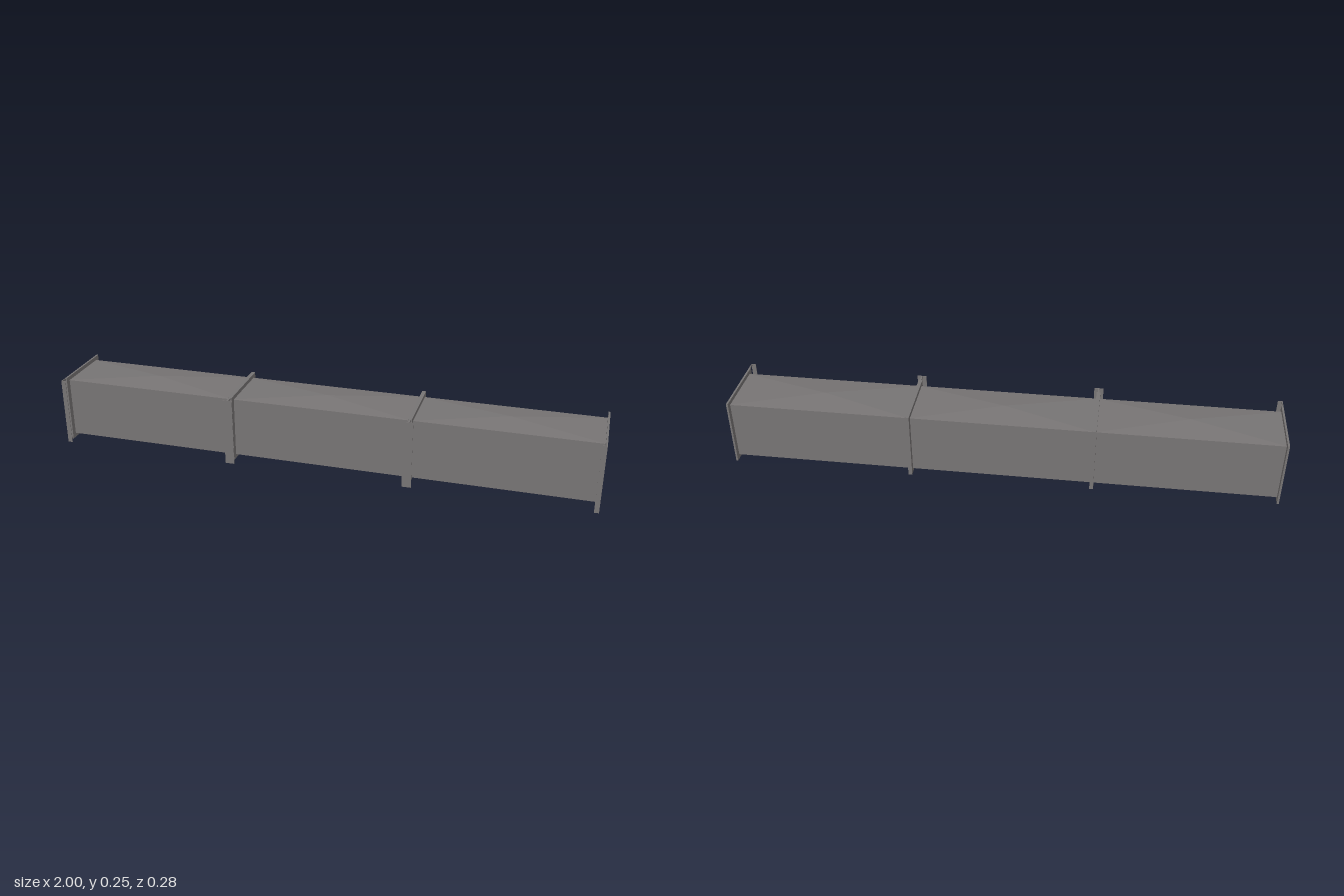
import * as THREE from 'three';

const SEGMENTS = 3, LENGTH = 2 / SEGMENTS;
const BACK = -0.122, FRONT = 0.093, LOW = 0.016, HIGH = 0.239; // duct opening
const RING = 0.007; // flange thickness per segment

const steel = new THREE.MeshStandardMaterial({ color: 0x777474, side: THREE.DoubleSide });
steel.name = 'grey steel';

function add(group, name, geometry, x = 0, y = 0, z = 0) {
  const mesh = new THREE.Mesh(geometry, steel);
  mesh.name = name;
  mesh.position.set(x, y, z);
  group.add(mesh);
  return mesh;
}

// Sheet creased from its corners to a slightly raised centre
function creasedPanel(y, peak) {
  const h = LENGTH / 2;
  const corners = [[-h, y, BACK], [-h, y, FRONT], [h, y, FRONT], [h, y, BACK]];
  const centre = [0, peak, (BACK + FRONT) / 2];
  const points = [];
  corners.forEach((c, i) => {
    const next = corners[(i + 1) % 4];
    points.push(...(peak > y ? [c, next, centre] : [next, c, centre]).flat());
  });
  const geometry = new THREE.BufferGeometry();
  geometry.setAttribute('position', new THREE.Float32BufferAttribute(points, 3));
  geometry.computeVertexNormals();
  return geometry;
}

// Rectangular ring standing across the duct
function flangeGeometry() {
  const rect = (path, z0, z1, y0, y1) => {
    path.moveTo(-z1, y0);
    path.lineTo(-z0, y0);
    path.lineTo(-z0, y1);
    path.lineTo(-z1, y1);
    path.closePath();
    return path;
  };
  const shape = rect(new THREE.Shape(), -0.141, 0.113, 0, 0.254);
  shape.holes.push(rect(new THREE.Path(), BACK, FRONT, LOW, HIGH));
  const geometry = new THREE.ExtrudeGeometry(shape, { depth: RING, bevelEnabled: false });
  return geometry.rotateY(Math.PI / 2).translate(-RING / 2, 0, 0);
}

// Flange with its front bracket; side is the outward x direction
function createEnd(side) {
  const end = new THREE.Group();
  end.name = side > 0 ? 'leftEnd' : 'rightEnd';
  const at = (width) => side * (LENGTH / 2 - width / 2);
  add(end, 'flange', flangeGeometry(), at(RING));
  add(end, 'upperArm', new THREE.BoxGeometry(0.003, 0.007, 0.028), at(0.003), 0.2505, 0.127);
  add(end, 'lowerArm', new THREE.BoxGeometry(0.003, 0.009, 0.028), at(0.003), 0.0045, 0.127);
  add(end, 'frontPlate', new THREE.BoxGeometry(0.017, 0.254, 0.002), at(0.017), 0.127, 0.14);
  return end;
}

export function createModel() {
  const duct = new THREE.Group();
  duct.name = 'duct';
  for (let i = 0; i < SEGMENTS; i++) {
    const segment = new THREE.Group();
    segment.name = 'segment' + (i + 1);
    segment.position.x = (i - (SEGMENTS - 1) / 2) * LENGTH;

    // Sheet walls
    const middle = (LOW + HIGH) / 2;
    add(segment, 'frontWall', new THREE.PlaneGeometry(LENGTH, HIGH - LOW), 0, middle, FRONT);
    add(segment, 'backWall', new THREE.PlaneGeometry(LENGTH, HIGH - LOW).rotateY(Math.PI), 0, middle, BACK);
    add(segment, 'topPanel', creasedPanel(HIGH, 0.251));
    add(segment, 'bottomPanel', creasedPanel(LOW, 0.008));

    // Flanges and brackets at both ends
    segment.add(createEnd(-1), createEnd(1));
    duct.add(segment);
  }
  return duct;
}
